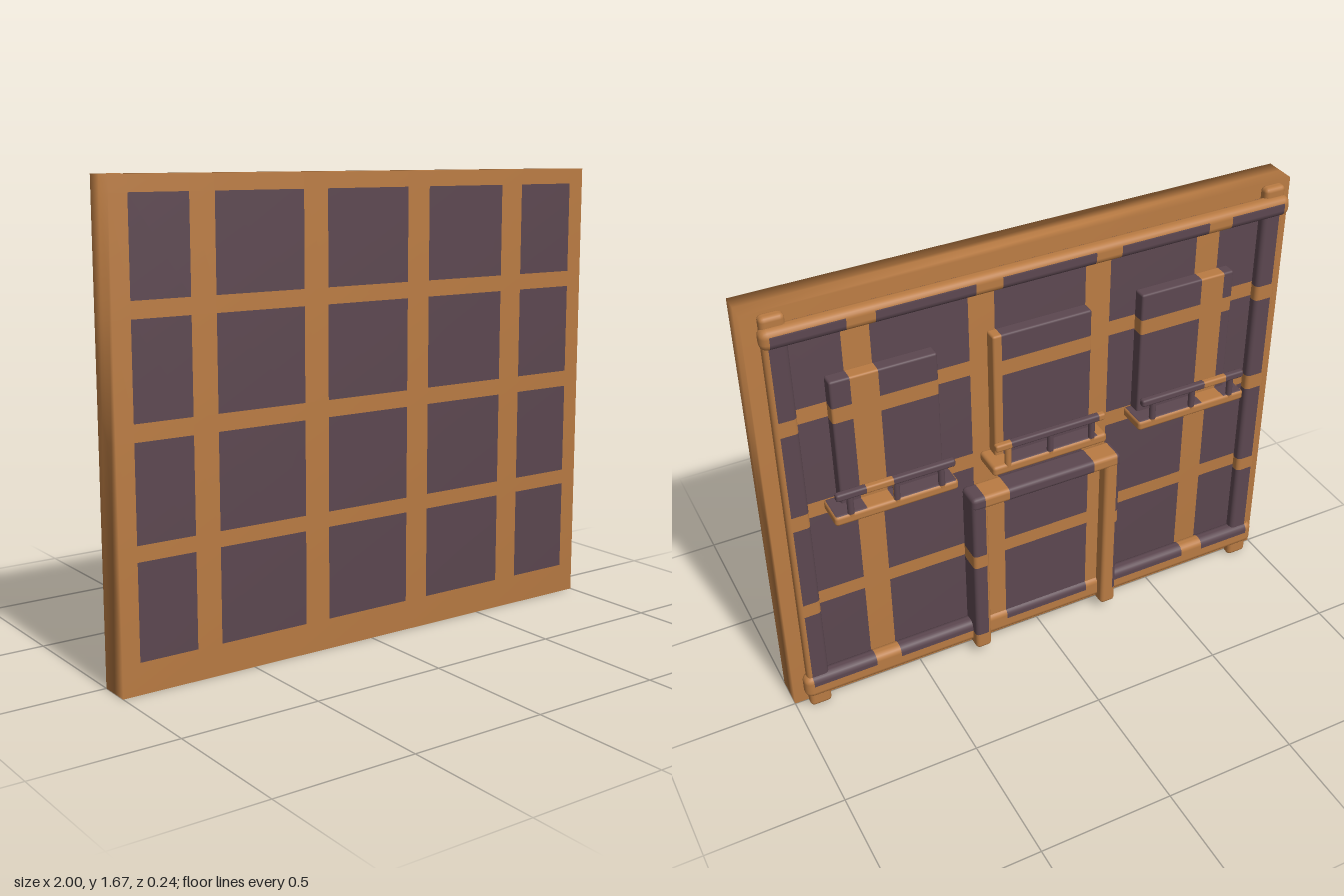
import * as THREE from 'three';
import { mergeVertices } from 'three/addons/utils/BufferGeometryUtils.js';
import { RoundedBoxGeometry } from 'three/addons/geometries/RoundedBoxGeometry.js';

const timber = new THREE.MeshStandardMaterial({ color: 0xb97b43 });
timber.name = 'warm timber';
const plum = new THREE.MeshStandardMaterial({ color: 0x5c4750 });
plum.name = 'dusky plum';

// The plum panes: every column crossed with every row, running through the whole depth
const COLUMNS = [[-0.935, -0.72], [-0.627, -0.285], [-0.188, 0.155], [0.25, 0.593], [0.69, 0.935]];
const ROWS = [[0.11, 0.445], [0.5, 0.835], [0.895, 1.225], [1.283, 1.615]];
const inside = (v, bands) => bands.some(([a, b]) => v > a && v < b);

// Cut a convex polygon along axis = c; points are [x, y, z, nx, ny, nz]
function cut(poly, axis, c) {
  const low = [], high = [];
  poly.forEach((p, i) => {
    const q = poly[(i + 1) % poly.length];
    if (p[axis] <= c) low.push(p);
    if (p[axis] >= c) high.push(p);
    if ((p[axis] - c) * (q[axis] - c) < 0) {
      const t = (c - p[axis]) / (q[axis] - p[axis]);
      const m = p.map((v, k) => v + (q[k] - v) * t);
      low.push(m);
      high.push(m);
    }
  });
  return [low, high].filter((s) => s.length > 2 && s.some((p) => Math.abs(p[axis] - c) > 1e-6));
}

// Split a placed geometry along the pane edges and give each piece its colour
function paint(source) {
  const geo = source.index ? source.toNonIndexed() : source;
  const pos = geo.attributes.position, nor = geo.attributes.normal;
  const bins = [[], []];
  for (let i = 0; i < pos.count; i += 3) {
    let polys = [[0, 1, 2].map((k) => [
      pos.getX(i + k), pos.getY(i + k), pos.getZ(i + k),
      nor.getX(i + k), nor.getY(i + k), nor.getZ(i + k)])];
    [COLUMNS, ROWS].forEach((bands, axis) => bands.flat().forEach((c) => {
      polys = polys.flatMap((p) => {
        const parts = cut(p, axis, c);
        return parts.length ? parts : [p];
      });
    }));
    for (const p of polys) {
      const mid = (k) => p.reduce((s, v) => s + v[k], 0) / p.length;
      const bin = bins[inside(mid(0), COLUMNS) && inside(mid(1), ROWS) ? 1 : 0];
      for (let k = 1; k < p.length - 1; k++) bin.push(p[0], p[k], p[k + 1]);
    }
  }
  const all = bins.flat();
  const out = new THREE.BufferGeometry();
  out.setAttribute('position', new THREE.Float32BufferAttribute(all.flatMap((v) => v.slice(0, 3)), 3));
  out.setAttribute('normal', new THREE.Float32BufferAttribute(all.flatMap((v) => v.slice(3)), 3));
  out.addGroup(0, bins[0].length, 0);
  out.addGroup(bins[0].length, bins[1].length, 1);
  return out;
}

// Slab whose shading runs softly around its edges
function softSlab() {
  const geo = new THREE.BoxGeometry(2, 1.67, 0.12, 1, 1, 2).translate(0, 0.835, 0.06);
  geo.deleteAttribute('uv');
  geo.deleteAttribute('normal');
  const soft = mergeVertices(geo);
  soft.computeVertexNormals();
  return soft;
}

export function createModel() {
  const model = new THREE.Group();
  model.name = 'panelledWall';

  const add = (name, geo) => {
    const mesh = new THREE.Mesh(paint(geo), [timber, plum]);
    mesh.name = name;
    model.add(mesh);
  };
  // Rounded box given by its limits
  const box = (name, x0, x1, y0, y1, z0, z1, r) => {
    const geo = new RoundedBoxGeometry(x1 - x0, y1 - y0, z1 - z0, 2, r);
    add(name, geo.translate((x0 + x1) / 2, (y0 + y1) / 2, (z0 + z1) / 2));
  };

  // The wall itself, patterned on both faces
  add('wallSlab', softSlab());

  // Rounded rails across the back
  box('topRail', -0.963, 0.963, 1.563, 1.635, -0.072, -0.013, 0.026);
  box('bottomRail', -0.967, 0.967, 0.055, 0.15, -0.061, 0, 0.026);

  // Full-height columns and door posts, mirrored
  for (const s of [-1, 1]) {
    const side = s > 0 ? 'left' : 'right';
    const span = (a, b) => (s > 0 ? [a, b] : [-b, -a]);
    box(side + 'Column', ...span(0.87, 0.952), 0, 1.67, -0.047, -0.004, 0.016);
    box(side + 'DoorPost', ...span(0.238, 0.3), 0.04, 0.74, -0.095, 0, 0.014);
  }

  // Door lintel and leaf
  box('doorLintel', -0.3, 0.3, 0.712, 0.765, -0.097, 0, 0.016);
  box('doorLeaf', -0.245, 0.245, 0.05, 0.73, -0.049, 0, 0.005);

  // Three tall windows, each with a balcony
  for (const s of [-1, 0, 1]) {
    const w = s * 0.573, b = s * 0.582;
    box('windowPanel', w - 0.187, w + 0.187, 0.87, 1.385, -0.051, 0, 0.008);
    box('balconyFloor', b - 0.225, b + 0.225, 0.858, 0.897, -0.116, 0, 0.012);
    box('balconyHandrail', b - 0.215, b + 0.215, 0.962, 0.99, -0.12, -0.094, 0.008);
    for (const d of [-0.165, 0, 0.165]) {
      const post = new THREE.CylinderGeometry(0.012, 0.012, 0.09, 12);
      add('balconyPost', post.translate(b + d, 0.93, -0.106));
    }
  }
  return model;
}
